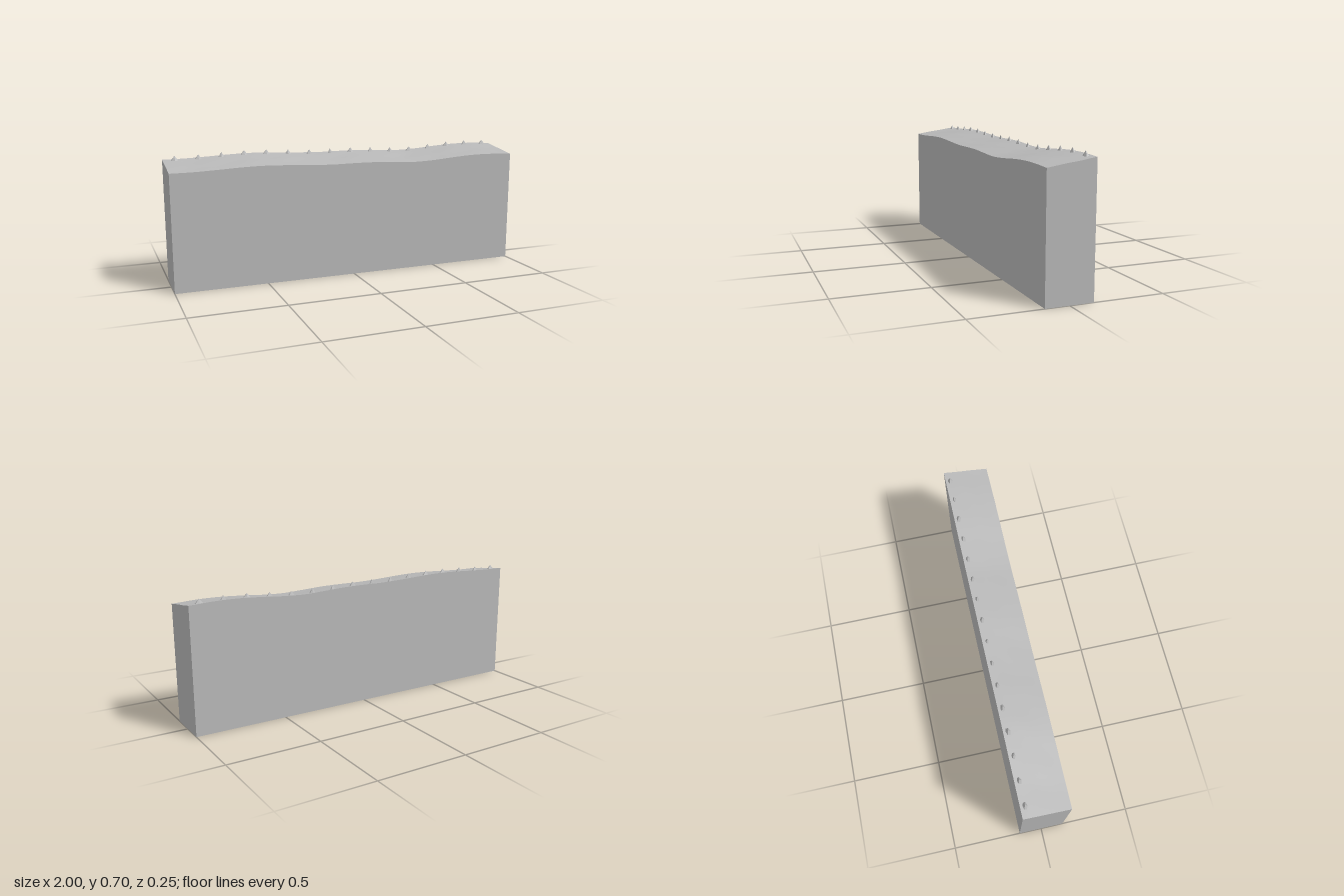
import * as THREE from 'three';

const DEPTH = 0.25;
// Height of the front top edge, evenly spaced from x = -1 to x = 1
const crest = [0.630, 0.631, 0.636, 0.642, 0.644, 0.640, 0.634, 0.630, 0.631,
  0.630, 0.624, 0.619, 0.624, 0.634, 0.641, 0.641, 0.635];
const crestCurve = new THREE.SplineCurve(crest.map((y, i) => new THREE.Vector2(i / 8 - 1, y)));

// Undulating top that slopes up to the back, with a faint diagonal ripple
function topHeight(x, z) {
  const t = THREE.MathUtils.clamp((x + 1) / 2, 0, 1);
  const inner = 1 - (2 * z / DEPTH) ** 2;
  const ripple = 0.0012 * inner * Math.sin(22 * x + 30 * z) * Math.cos(9 * x - 14 * z);
  return crestCurve.getPoint(t).y + 0.038 * (0.5 - z / DEPTH) + ripple;
}

export function createModel() {
  const model = new THREE.Group();
  model.name = 'bank';
  const stone = new THREE.MeshStandardMaterial({ color: 0xb8b8b8 });
  stone.name = 'stone grey';

  // Solid block with a shaped top
  const block = new THREE.BoxGeometry(2, 1, DEPTH, 64, 1, 10);
  const pos = block.attributes.position;
  for (let i = 0; i < pos.count; i++) {
    const top = pos.getY(i) > 0;
    pos.setY(i, top ? topHeight(pos.getX(i), pos.getZ(i)) : 0);
  }
  block.computeVertexNormals();
  const body = new THREE.Mesh(block, stone);
  body.name = 'block';
  model.add(body);

  // Row of small faceted spikes along the back edge
  const widths = [0.026, 0.024, 0.022, 0.026, 0.026, 0.022, 0.021, 0.018,
    0.024, 0.021, 0.022, 0.024, 0.023, 0.026, 0.021, 0.027];
  const cone = new THREE.ConeGeometry(1, 1, 6).toNonIndexed();
  cone.computeVertexNormals();
  const spikes = new THREE.Group();
  spikes.name = 'spikes';
  widths.forEach((w, i) => {
    const x = -0.9375 + i * 0.125, z = -0.1;
    const spike = new THREE.Mesh(cone, stone);
    spike.name = 'spike';
    spike.scale.set(w, 0.03, w * 0.6);
    spike.rotation.y = 0.15 * Math.sin(i * 2.3);
    spike.position.set(x, topHeight(x, z) + 0.009, z);
    spikes.add(spike);
  });
  model.add(spikes);
  return model;
}
